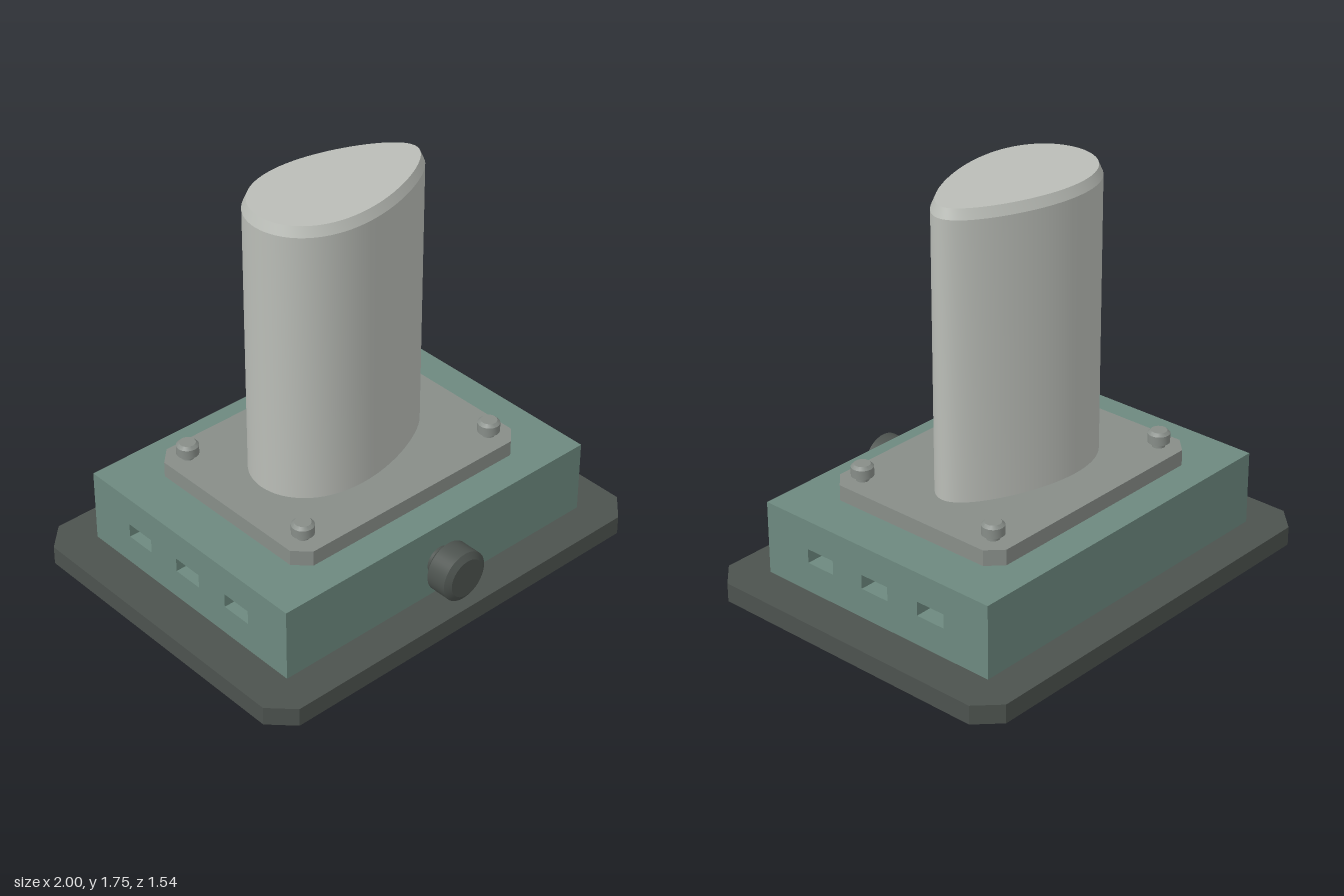
import * as THREE from 'three';
import { toCreasedNormals } from 'three/addons/utils/BufferGeometryUtils.js';

const paint = (color) => new THREE.MeshStandardMaterial({ color });
const dark = paint(0x4c524e);
const teal = paint(0x6d897f);
const steel = paint(0x878d88);
const pale = paint(0xbabdb7);

function part(name, geometry, material, x = 0, y = 0, z = 0) {
  const mesh = new THREE.Mesh(geometry, material);
  mesh.name = name;
  mesh.position.set(x, y, z);
  return mesh;
}

// Flat slab with cut corners, lying on y = 0
function slab(hx, hz, cut, height) {
  const corners = [
    [hx, hz - cut], [hx - cut, hz], [cut - hx, hz], [-hx, hz - cut],
    [-hx, cut - hz], [cut - hx, -hz], [hx - cut, -hz], [hx, cut - hz],
  ].map(([x, y]) => new THREE.Vector2(x, y));
  return new THREE.ExtrudeGeometry(new THREE.Shape(corners), { depth: height, bevelEnabled: false })
    .rotateX(-Math.PI / 2);
}

function rectangle(Type, x0, x1, y0, y1) {
  return new Type([[x0, y0], [x1, y0], [x1, y1], [x0, y1]].map(([x, y]) => new THREE.Vector2(x, y)));
}

// Turned part with crisp edges
function turned(points, segments) {
  const lathe = new THREE.LatheGeometry(points.map(([r, y]) => new THREE.Vector2(r, y)), segments);
  return toCreasedNormals(lathe, 0.45);
}

// Housing block with three slots running right through it sideways
function housingGeometry() {
  const side = rectangle(THREE.Shape, -0.605, 0.605, 0.085, 0.415);
  for (const c of [-0.303, 0, 0.303]) {
    side.holes.push(rectangle(THREE.Path, c - 0.071, c + 0.071, 0.219, 0.283));
  }
  return new THREE.ExtrudeGeometry(side, { depth: 1.64, bevelEnabled: false })
    .translate(0, 0, -0.82).rotateY(Math.PI / 2);
}

// Egg-section column with a chamfered top; its lower end sits inside the plate
function columnGeometry() {
  const outline = [];
  for (let i = 0; i < 80; i++) {
    const a = (i / 80) * Math.PI * 2;
    outline.push(new THREE.Vector2(
      0.425 * Math.cos(a),
      0.247 * Math.sin(a) * (1 - 0.264 * Math.cos(a)),
    ));
  }
  const bevel = 0.042;
  const bottom = 0.43;
  const egg = new THREE.ExtrudeGeometry(new THREE.Shape(outline), {
    depth: 1.75 - bottom - 2 * bevel,
    bevelThickness: bevel, bevelSize: 0.018, bevelOffset: -0.018, bevelSegments: 1,
  });
  egg.rotateX(-Math.PI / 2).translate(0, bottom + bevel, 0);
  return toCreasedNormals(egg, 0.35);
}

export function createModel() {
  const model = new THREE.Group();
  model.name = 'columnOnHousing';

  model.add(part('basePlate', slab(1, 0.77, 0.1, 0.085), dark));
  model.add(part('housing', housingGeometry(), teal));
  model.add(part('mountingPlate', slab(0.613, 0.457, 0.065, 0.07), steel, 0, 0.415));
  model.add(part('column', columnGeometry(), pale));

  // Corner bolts: thin shank under a chamfered head
  const bolt = turned([
    [0, 0], [0.028, 0], [0.028, 0.022], [0.048, 0.022],
    [0.048, 0.062], [0.035, 0.075], [0, 0.075],
  ], 24);
  for (const x of [-0.515, 0.515]) {
    for (const z of [-0.358, 0.358]) model.add(part('bolt', bolt, steel, x, 0.485, z));
  }

  // Front knob on a short stem
  const knob = turned([
    [0, 0], [0.065, 0], [0.065, 0.027], [0.085, 0.027], [0.113, 0.05],
    [0.113, 0.145], [0.086, 0.163], [0, 0.163],
  ], 40).rotateX(Math.PI / 2);
  model.add(part('knob', knob, dark, 0, 0.24, 0.604));

  return model;
}
